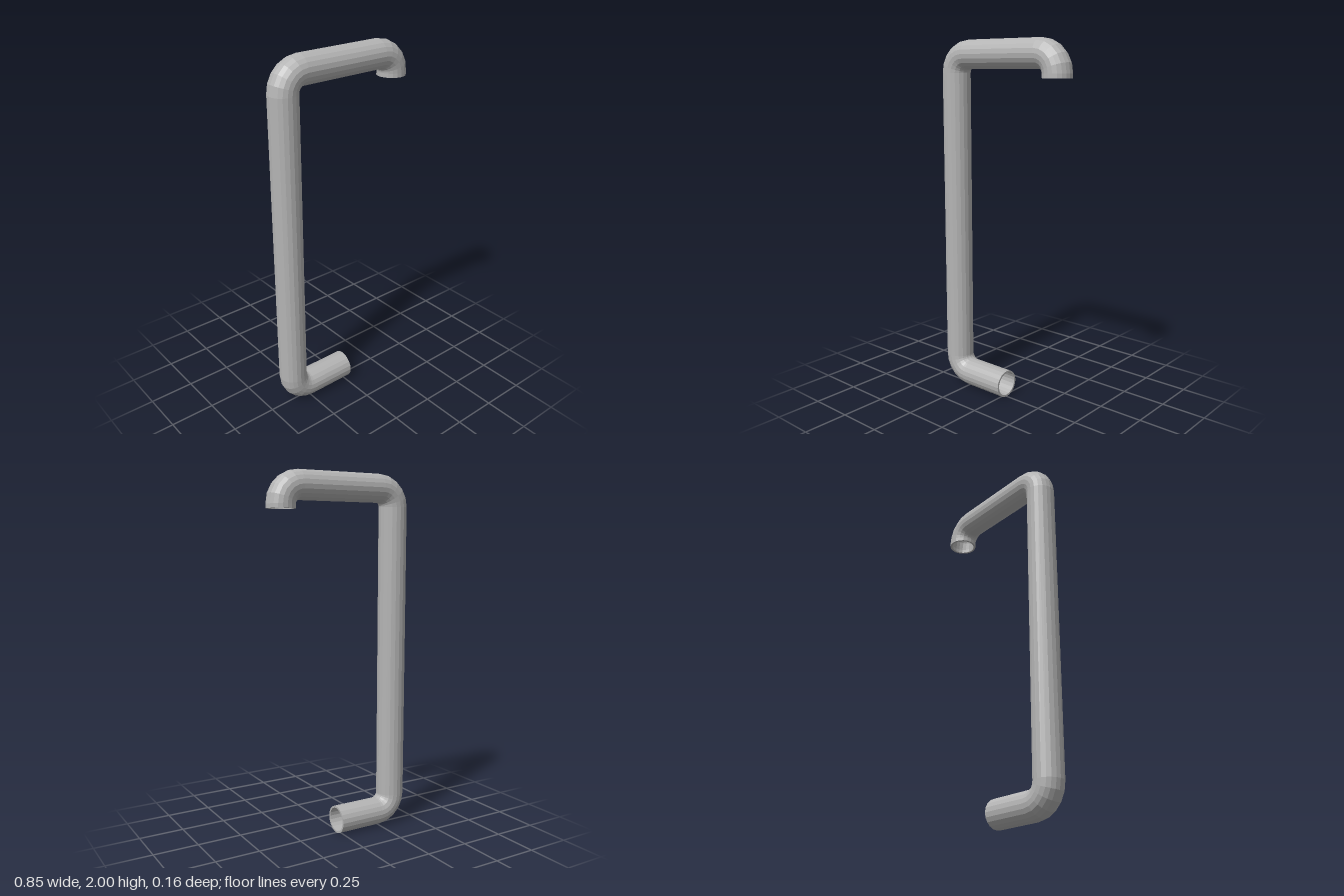
import * as THREE from 'three';

const OUTER = 0.078, INNER = 0.067, BEND = 0.1, SIDES = 20, BEND_STEPS = 5;

// Stations along the centre line: position and heading in the xy plane
function centreLine() {
  const stations = [{ x: 0.02, y: 0.078, dx: -1, dy: 0 }];
  const bend = (cx, cy, start) => {
    for (let i = 0; i <= BEND_STEPS; i++) {
      const a = start - (i / BEND_STEPS) * Math.PI / 2;
      stations.push({
        x: cx + BEND * Math.cos(a), y: cy + BEND * Math.sin(a),
        dx: Math.sin(a), dy: -Math.cos(a),
      });
    }
  };
  bend(-0.247, 0.178, -Math.PI / 2); // lower elbow
  bend(-0.247, 1.822, Math.PI);      // upper elbow
  bend(0.247, 1.822, Math.PI / 2);   // downturned outlet
  stations.push({ x: 0.347, y: 1.8, dx: 0, dy: -1 });
  return stations;
}

// Hollow pipe: outer rings forward, inner rings back, closed by the two rims
function pipeGeometry(stations) {
  const rings = [
    ...stations.map((s) => ({ ...s, r: OUTER })),
    ...stations.map((s) => ({ ...s, r: INNER })).reverse(),
  ];
  const positions = [], indices = [];
  rings.forEach((s, i) => {
    const next = (i + 1) % rings.length;
    for (let j = 0; j < SIDES; j++) {
      const t = (j / SIDES) * Math.PI * 2;
      const n = s.r * Math.cos(t);
      positions.push(s.x - s.dy * n, s.y + s.dx * n, s.r * Math.sin(t));
      const k = (j + 1) % SIDES;
      const a = i * SIDES + j, b = i * SIDES + k;
      const c = next * SIDES + k, d = next * SIDES + j;
      indices.push(a, b, c, a, c, d);
    }
  });
  const indexed = new THREE.BufferGeometry();
  indexed.setAttribute('position', new THREE.Float32BufferAttribute(positions, 3));
  indexed.setIndex(indices);
  const geometry = indexed.toNonIndexed();
  geometry.computeVertexNormals();
  return geometry;
}

export function createModel() {
  const group = new THREE.Group();
  group.name = 'bentPipe';
  const grey = new THREE.MeshStandardMaterial({ color: 0xb4b4b4, flatShading: true });
  grey.name = 'pipeGrey';
  const pipe = new THREE.Mesh(pipeGeometry(centreLine()), grey);
  pipe.name = 'pipe';
  group.add(pipe);
  return group;
}
